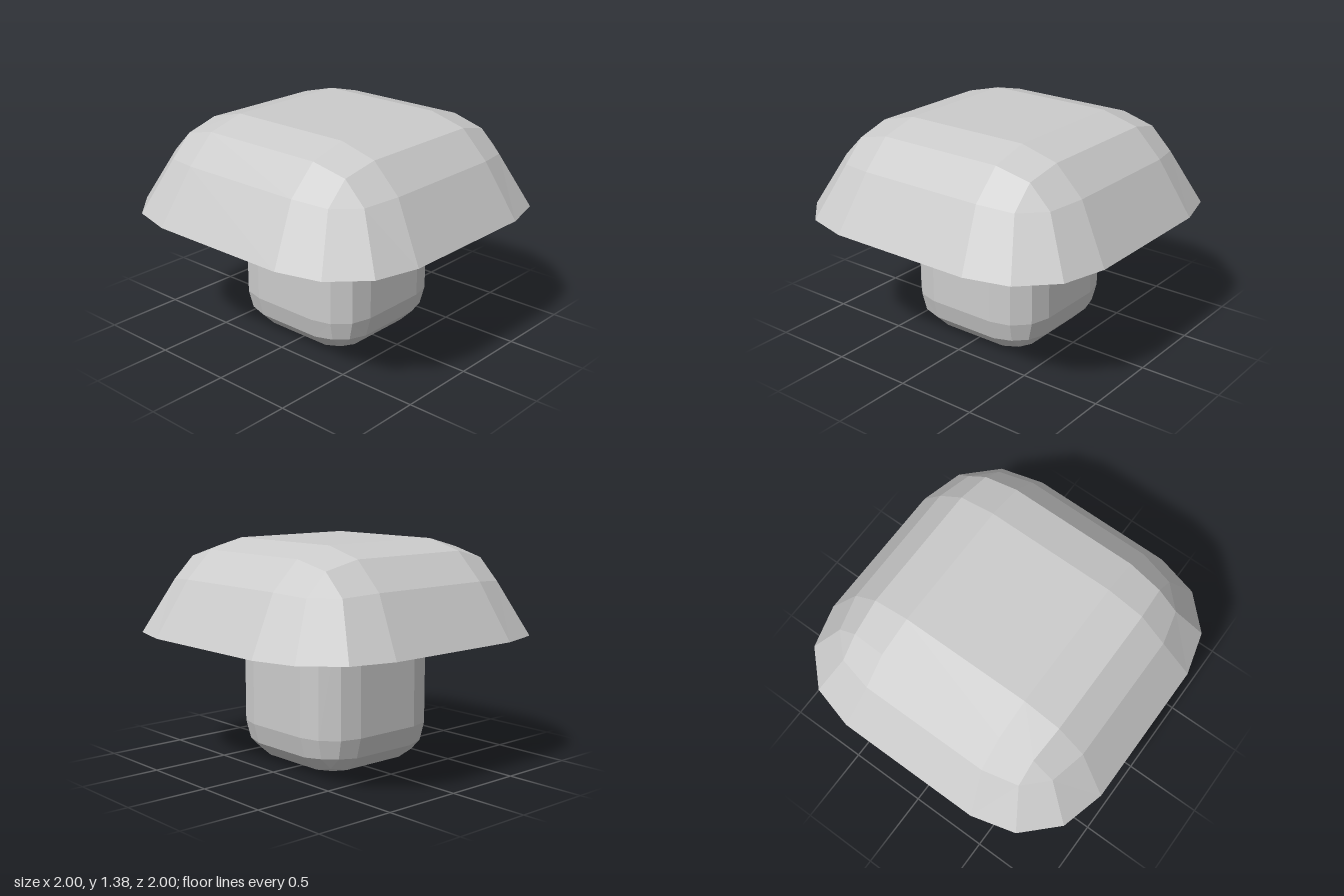
import * as THREE from 'three';

// Points on an eighth of a unit sphere: three-step bevel arcs plus a centre triangle
const S = 0.5, K = 0.866, m = 0.465, M = 0.753;
const P = {
  Y: [0, 1, 0], X: [1, 0, 0], Z: [0, 0, 1],
  yx1: [S, K, 0], yx2: [K, S, 0],
  yz1: [0, K, S], yz2: [0, S, K],
  xz1: [K, 0, S], xz2: [S, 0, K],
  iy: [m, M, m], ix: [M, m, m], iz: [m, m, M],
};
const CORNER = [
  ['Y', 'yz1', 'iy', 'yx1'], ['X', 'yx2', 'ix', 'xz1'], ['Z', 'xz2', 'iz', 'yz2'],
  ['yx1', 'iy', 'ix', 'yx2'], ['yz1', 'yz2', 'iz', 'iy'], ['xz1', 'ix', 'iz', 'xz2'],
  ['iy', 'iz', 'ix'],
];
const ARC = ['Y', 'yx1', 'yx2', 'X'];
const RIM = ['X', 'xz1', 'xz2', 'Z'];

// Adds one polygon as a fan of triangles
function face(out, pts, flip) {
  const p = flip ? [...pts].reverse() : pts;
  for (let i = 1; i < p.length - 1; i++) out.push(...p[0], ...p[i], ...p[i + 1]);
}

// Turns a point by quarter turns about y
function turn([x, y, z], k) {
  for (let i = 0; i < k; i++) [x, z] = [z, -x];
  return [x, y, z];
}

// Bevelled square dome. flat: half size of the flat top, r/h: bevel width and height,
// base: level of the bevel foot; rimFlat, rimR, rimY place the lowest ring.
function dome(out, { flat, r, h, base, rimFlat = flat, rimR = r, rimY = base }, flip = false) {
  const at = (name) => {
    const [x, y, z] = P[name];
    return y === 0
      ? [rimFlat + x * rimR, rimY, rimFlat + z * rimR]
      : [flat + x * r, base + y * h, flat + z * r];
  };
  const back = ([x, y, z]) => [x, y, -z];
  for (let k = 0; k < 4; k++) {
    const add = (pts) => face(out, pts.map((p) => turn(p, k)), flip);
    CORNER.forEach((names) => add(names.map(at)));
    for (let i = 0; i < 3; i++) {
      const a = at(ARC[i]), b = at(ARC[i + 1]);
      add([a, b, back(b), back(a)]);
    }
  }
  face(out, [0, 1, 2, 3].map((k) => turn(at('Y'), k)), flip);
}

// Upright wall with the same rounded-square outline
function wall(out, flat, r, y0, y1) {
  const ring = [];
  for (let k = 0; k < 4; k++) {
    // each quarter turn carries the ring on toward the next side
    [...RIM].reverse().forEach((n) => {
      const [x, , z] = P[n];
      ring.push(turn([flat + x * r, 0, flat + z * r], k));
    });
  }
  ring.forEach(([x, , z], i) => {
    const [u, , v] = ring[(i + 1) % ring.length];
    face(out, [[x, y0, z], [u, y0, v], [u, y1, v], [x, y1, z]]);
  });
}

function mesh(name, positions) {
  const g = new THREE.BufferGeometry();
  g.setAttribute('position', new THREE.Float32BufferAttribute(positions, 3));
  g.computeVertexNormals();
  const material = new THREE.MeshStandardMaterial({ color: 0xcccccc, flatShading: true });
  const part = new THREE.Mesh(g, material);
  part.name = name;
  return part;
}

export function createModel() {
  const group = new THREE.Group();
  group.name = 'mushroom';

  // Cap: flared bevelled dome
  const rim = { rimFlat: 0.46, rimR: 0.54, rimY: 0.81 };
  const cap = [];
  dome(cap, { flat: 0.405, r: 0.465, h: 0.46, base: 0.92, ...rim });
  group.add(mesh('cap', cap));

  // Underside: shallow hollow up to the stem
  const under = [];
  dome(under, { flat: 0.35, r: 0.4, h: 0.15, base: 0.87, ...rim }, true);
  group.add(mesh('capUnderside', under));

  // Stem: rounded square post with a bevelled foot
  const stem = [];
  wall(stem, 0.22, 0.25, 0.25, 1.05);
  dome(stem, { flat: 0.22, r: 0.25, h: -0.25, base: 0.25 }, true);
  group.add(mesh('stem', stem));

  return group;
}
